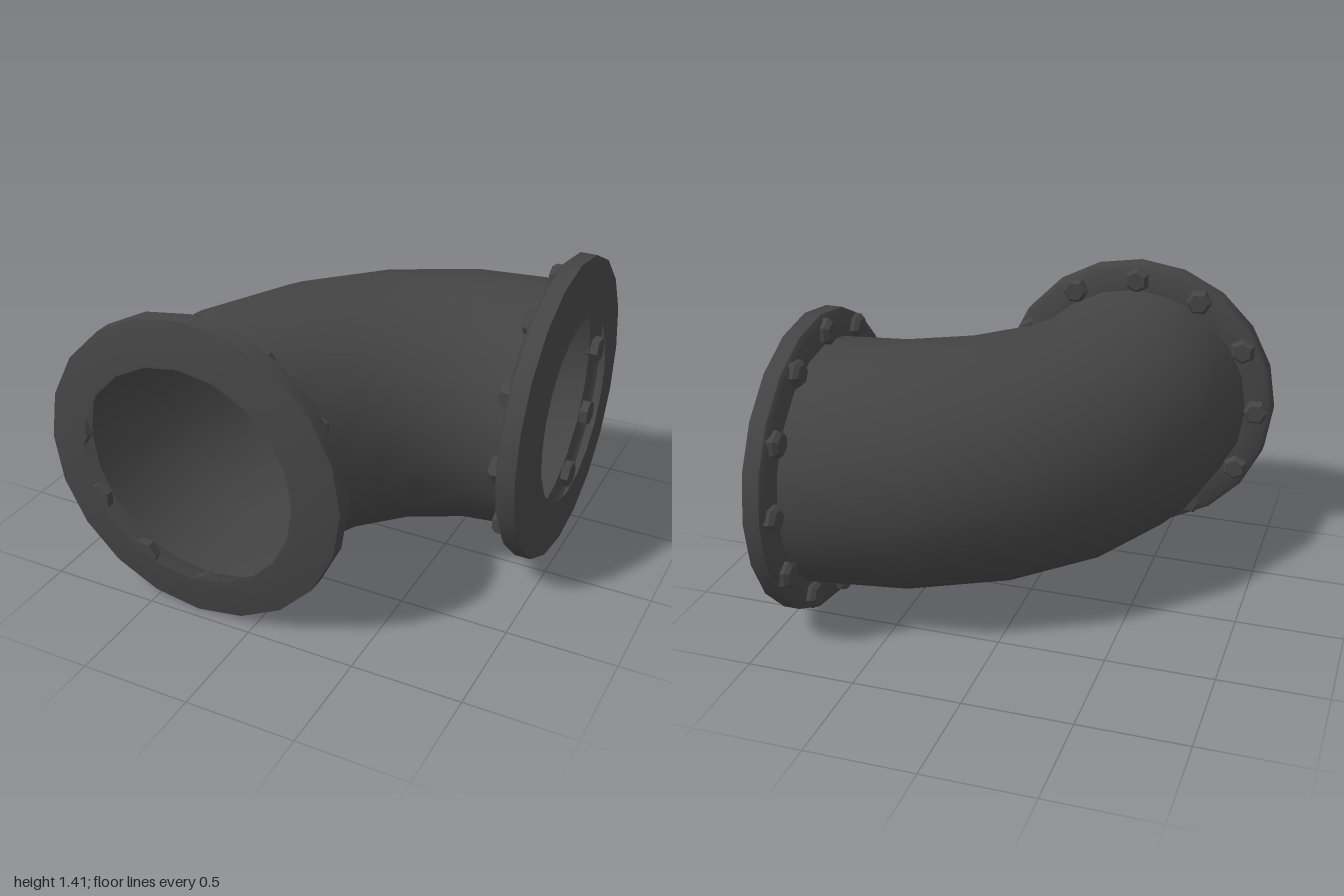
import * as THREE from 'three';
import { toCreasedNormals } from 'three/addons/utils/BufferGeometryUtils.js';

const BEND = 1.151, PIPE = 0.575, RIM = 0.707;
const SIDES = 20, BOLTS = 12, BOLT_CIRCLE = 0.63;
const CENTRE = new THREE.Vector3(0.87, RIM, 0.858); // centre of the bend

const iron = new THREE.MeshStandardMaterial({ color: 0x444444, side: THREE.DoubleSide });

function lathe(points, sides, crease) {
  const profile = points.map(([r, y]) => new THREE.Vector2(r, y));
  return toCreasedNormals(new THREE.LatheGeometry(profile, sides), crease);
}

function part(name, geometry) {
  const mesh = new THREE.Mesh(geometry, iron);
  mesh.name = name;
  return mesh;
}

// Flange shell along +y, its back at y = 0, with a ring of bolts on the back
function makeFlange(name, hole, depth) {
  const flange = new THREE.Group();
  flange.name = name;
  flange.add(part('flangeRing', lathe([
    [PIPE - 0.005, 0], [0.685, 0], [RIM, 0.018], [RIM, 0.095], [0.52, depth], [hole, depth],
  ], SIDES, 0.7)));

  const boltGeometry = lathe([
    [0, 0.04], [0.064, 0.04], [0.064, -0.018], [0.047, -0.038], [0, -0.038],
  ].reverse(), 6, 0.5);
  for (let i = 0; i < BOLTS; i++) {
    const a = (i / BOLTS) * Math.PI * 2;
    const bolt = part('bolt', boltGeometry);
    bolt.position.set(Math.sin(a) * BOLT_CIRCLE, 0, Math.cos(a) * BOLT_CIRCLE);
    bolt.rotation.y = a;
    flange.add(bolt);
  }
  return flange;
}

export function createModel() {
  const model = new THREE.Group();
  model.name = 'pipeElbow';

  // Quarter bend, from the back (-z) round to the right (-x) of its centre
  const bend = new THREE.TorusGeometry(BEND, PIPE, SIDES, 5, Math.PI / 2);
  bend.rotateX(-Math.PI / 2);
  bend.rotateY(Math.PI / 2);
  const pipe = part('bentPipe', bend);
  pipe.position.copy(CENTRE);
  model.add(pipe);

  // Flange facing the front
  const front = makeFlange('frontFlange', 0.51, 0.14);
  front.rotation.x = Math.PI / 2;
  front.position.set(CENTRE.x - BEND, CENTRE.y, CENTRE.z);
  model.add(front);

  // Flange facing the left side, with a narrower mouth
  const side = makeFlange('sideFlange', 0.44, 0.118);
  side.rotation.z = -Math.PI / 2;
  side.position.set(CENTRE.x, CENTRE.y, CENTRE.z - BEND);
  model.add(side);

  return model;
}
